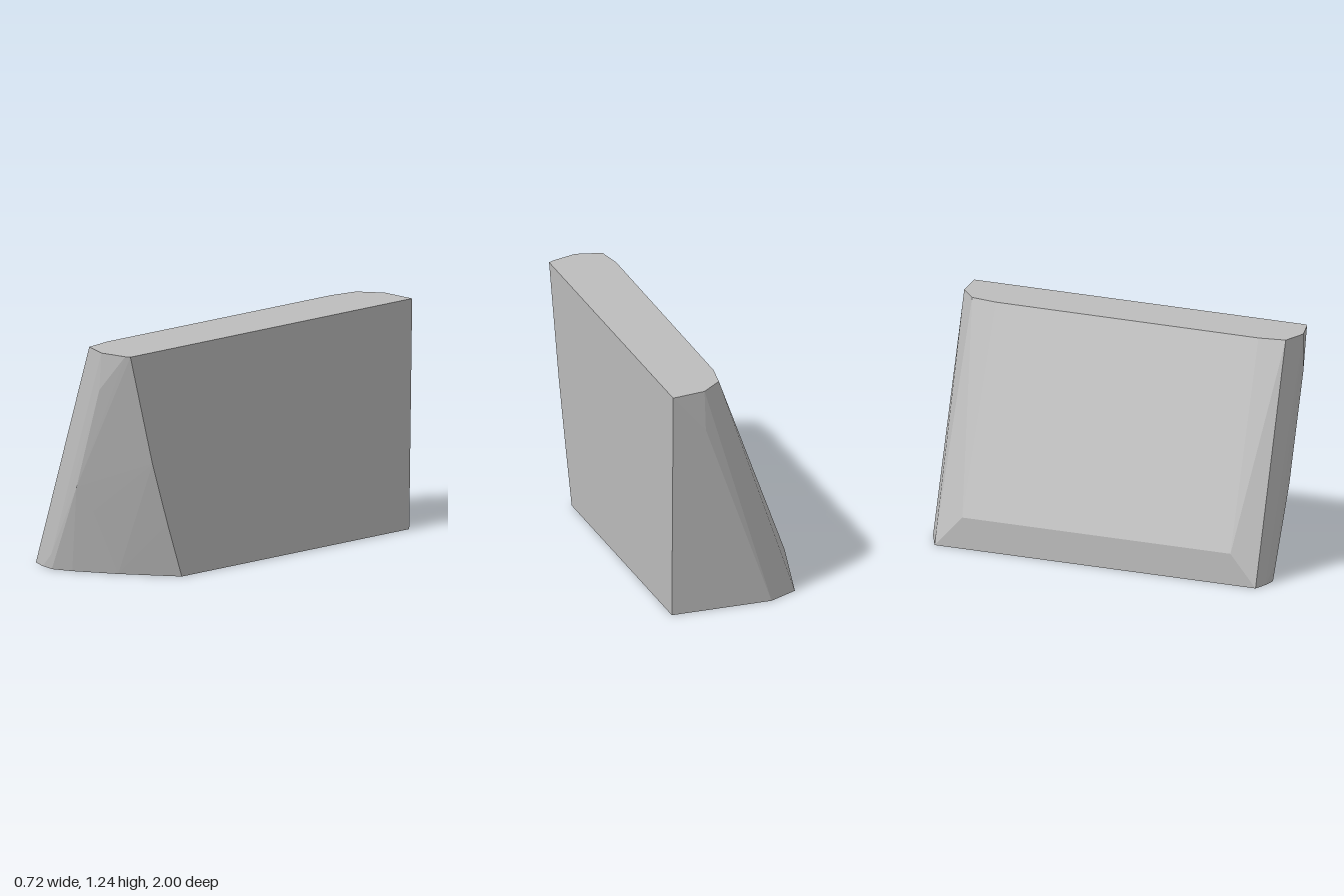
import * as THREE from 'three';
import { ConvexGeometry } from 'three/addons/geometries/ConvexGeometry.js';

const HEIGHT = 1.24;
const at = (y, outline) => outline.map(([x, z]) => new THREE.Vector3(x, y, z));

export function createModel() {
  const group = new THREE.Group();
  group.name = 'wedgeBlock';
  const stone = new THREE.MeshStandardMaterial({ color: 0xbdbdbd });
  stone.name = 'plain grey';

  const corners = [
    // footprint, with its front edge swept back towards the flat side
    ...at(0, [[0.355, -0.98], [-0.2, -0.975], [-0.36, -0.89], [-0.36, 0.965],
      [-0.28, 0.985], [-0.2, 0.99], [-0.1, 0.935], [0.1, 0.79], [0.355, 0.57]]),
    // low upright strip under the slope
    ...at(0.17, [[-0.36, -0.73], [-0.36, 0.82]]),
    // narrow top with clipped corners
    ...at(HEIGHT, [[0.355, -1], [0.17, -0.97], [0.055, -0.87], [0.03, -0.72],
      [0.025, 0.8], [0.05, 0.945], [0.19, 0.98], [0.33, 0.935], [0.355, 0.92]]),
    // ridge across the back end
    ...at(1.03, [[0.17, -0.99]]),
    // ridge and gentle bulge across the front end
    ...at(1.04, [[0.18, 0.985]]),
    ...at(0.48, [[0, 0.99]]),
    ...at(0.08, [[-0.2, 0.995]]),
    ...at(0.35, [[0.05, 0.92]]),
    ...at(0.64, [[0.355, 0.77]]),
    ...at(0.3, [[0.355, 0.667]]),
  ];
  const block = new THREE.Mesh(new ConvexGeometry(corners), stone);
  block.name = 'block';
  group.add(block);
  return group;
}
